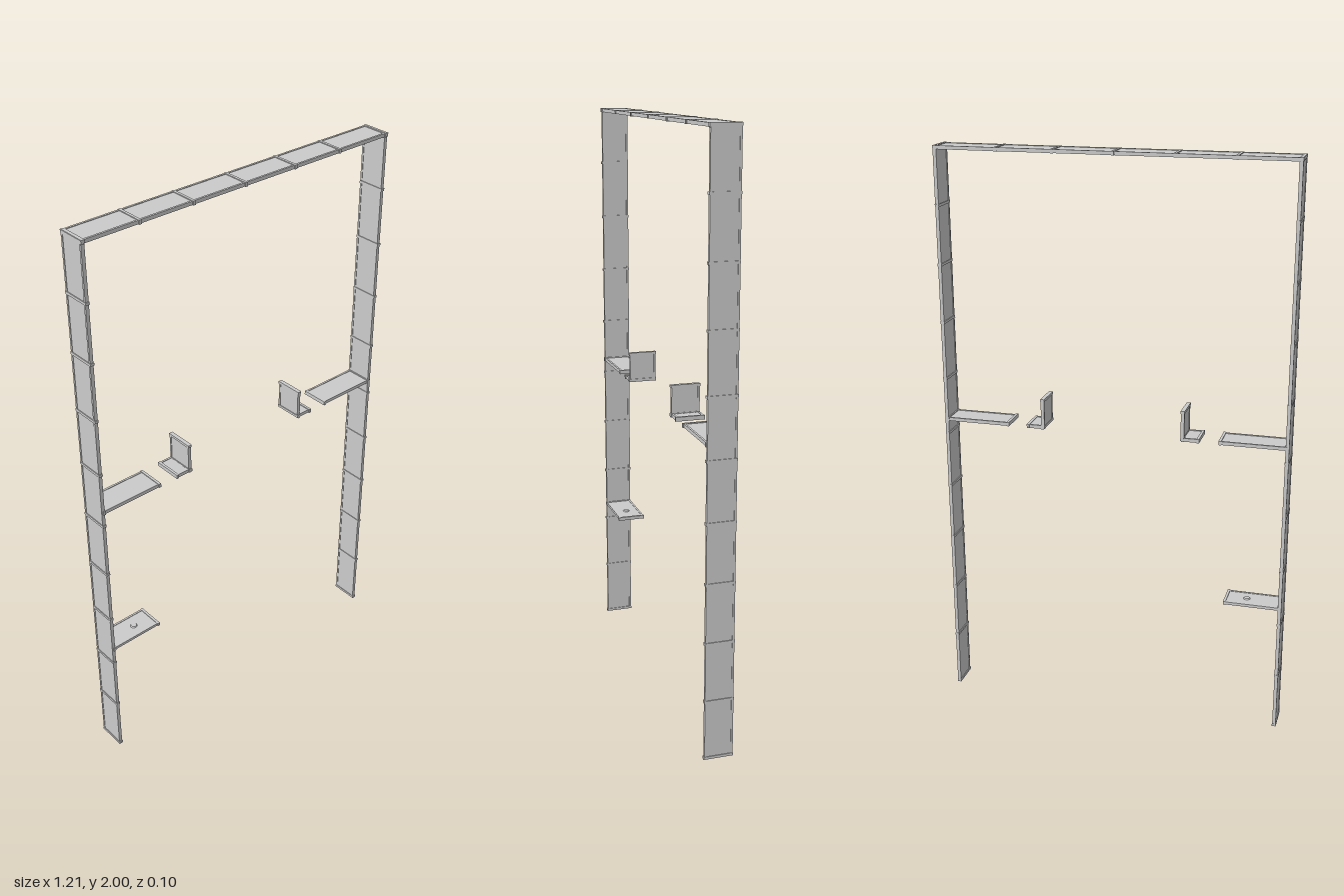
import * as THREE from 'three';

const material = new THREE.MeshStandardMaterial({ color: 0xcccccc, flatShading: true });

function box(parent, name, size, pos) {
  const mesh = new THREE.Mesh(new THREE.BoxGeometry(...size), material);
  mesh.name = name;
  mesh.position.set(...pos);
  parent.add(mesh);
}

// A thin board from a to b along local x, with rails on its long edges and ribs across it
function board(name, a, b, ribs, thick = 0.012) {
  const group = new THREE.Group();
  group.name = name;
  const length = b - a, mid = (a + b) / 2;
  box(group, 'panel', [length, thick * 0.7, 0.09], [mid, 0, -0.001]);
  for (const z of [-0.0455, 0.0435])
    box(group, 'edgeRail', [length, thick, 0.007], [mid, 0, z]);
  for (const x of ribs)
    box(group, 'rib', [0.009, thick + 0.002, 0.1], [x, 0, 0]);
  return group;
}

function upright(name, x, y0, y1, ribs) {
  const group = board(name, y0, y1, ribs);
  group.rotation.z = Math.PI / 2;
  group.position.x = x;
  return group;
}

function level(name, y, x0, x1, ribs, thick) {
  const group = board(name, x0, x1, ribs, thick);
  group.position.y = y;
  return group;
}

export function createModel() {
  const model = new THREE.Group();
  model.name = 'doorFrameWithShelves';

  // Outer frame
  const wallRibs = [0.0045];
  for (let i = 1; i < 10; i++) wallRibs.push(i * 0.2 + 0.003);
  wallRibs.push(1.9945);
  model.add(level('topBeam', 1.993, -0.606, 0.606, [-0.601, -0.403, -0.206, -0.004, 0.198, 0.39, 0.601]));

  for (const [side, s] of [['right', -1], ['left', 1]]) {
    model.add(upright(side + 'Post', s * 0.6, 0, 1.998, wallRibs));

    // Middle shelf and the separate angled bracket beside it
    const span = (p, q) => [Math.min(s * p, s * q), Math.max(s * p, s * q)];
    model.add(level(side + 'Shelf', 1.055, ...span(0.37, 0.6), [s * 0.374, s * 0.596]));
    model.add(level(side + 'BracketFoot', 1.055, ...span(0.242, 0.304), [s * 0.2995, s * 0.247]));
    model.add(upright(side + 'BracketUpright', s * 0.246, 1.05, 1.156, [1.055, 1.1515]));
  }

  // Low shelf with a small raised button
  model.add(level('lowShelf', 0.465, -0.6, -0.402, [-0.596, -0.4065], 0.01));
  const button = new THREE.Mesh(new THREE.CylinderGeometry(0.01, 0.013, 0.004, 12), material);
  button.name = 'shelfButton';
  button.position.set(-0.478, 0.47, 0);
  model.add(button);

  return model;
}
